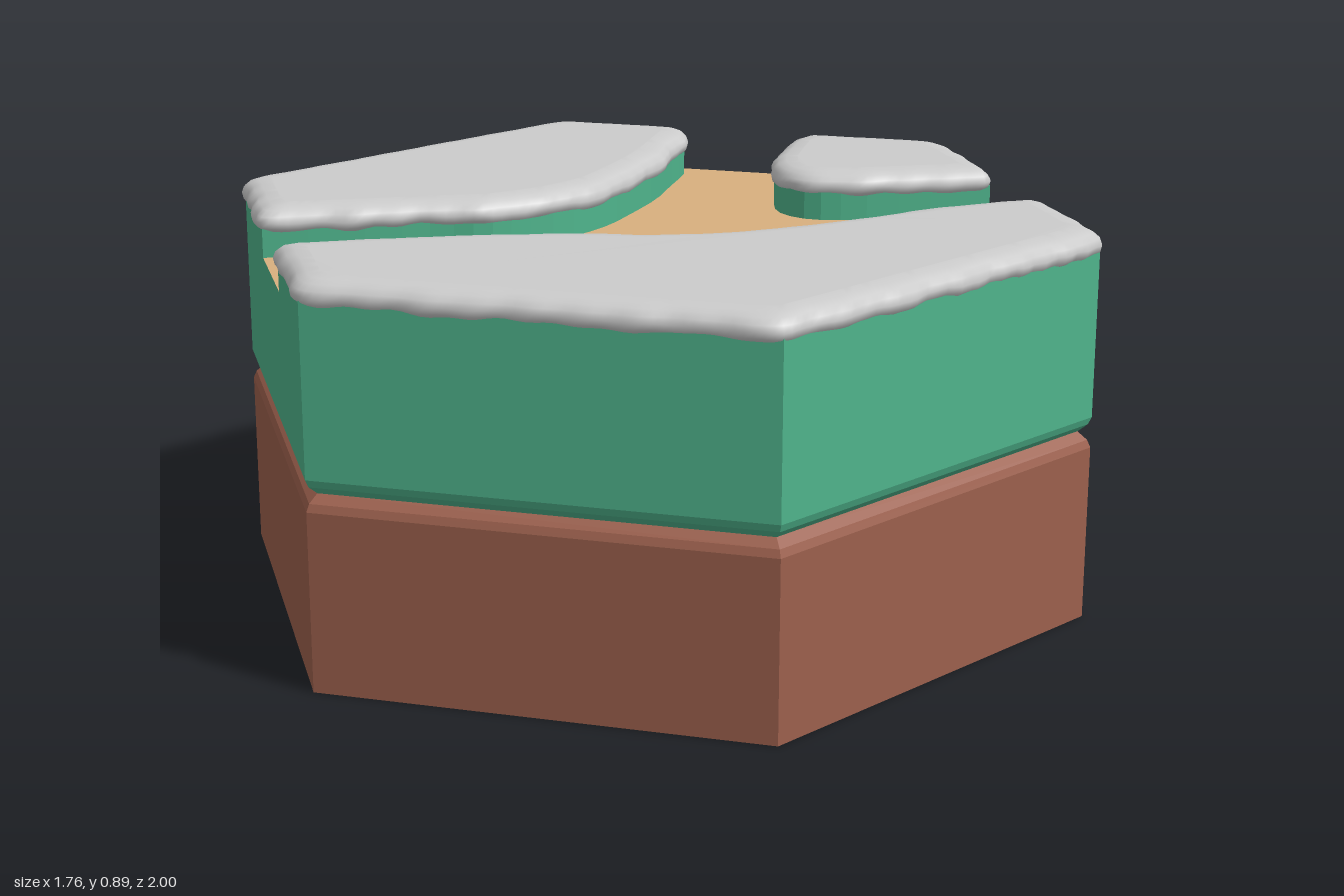
import * as THREE from 'three';

const GREEN = 0x4fb48c, BROWN = 0x9c604d, SAND = 0xd8b07e, GREY = 0xcccccc;
const BED = 0.78, BANK_TOP = 0.85, GROOVE = 0.435;
const HALF = Math.sqrt(3) / 2;

// Each bank: a curved river edge, then the hexagon corners behind it, as [x, z]
const BANKS = {
  backRight: {
    river: [[0.29, -0.832], [0.27, -0.76], [0.2, -0.63], [0.13, -0.5], [0.03, -0.36], [-0.05, -0.26],
      [-0.15, -0.18], [-0.27, -0.13], [-0.37, -0.11], [-0.47, -0.125], [-0.62, -0.13], [-HALF, -0.152]],
    corners: [[-HALF, -0.5], [0, -1]],
  },
  backLeft: {
    river: [[HALF, -0.152], [0.7, -0.16], [0.53, -0.175], [0.43, -0.21], [0.385, -0.29], [0.4, -0.39],
      [0.45, -0.5], [0.51, -0.61], [0.57, -0.671]],
    corners: [[HALF, -0.5]],
  },
  front: {
    river: [[-HALF, 0.152], [-0.68, 0.16], [-0.45, 0.18], [-0.22, 0.22], [-0.1, 0.265], [0, 0.286],
      [0.1, 0.29], [0.22, 0.276], [0.4, 0.24], [0.6, 0.18], [HALF, 0.152]],
    corners: [[HALF, 0.5], [0, 1], [-HALF, 0.5]],
  },
};

const material = (color) => new THREE.MeshStandardMaterial({ color });

function named(name, geometry, color) {
  const mesh = new THREE.Mesh(geometry, material(color));
  mesh.name = name;
  return mesh;
}

// Six-sided faceted solid from a radius/height profile
function hexSolid(profile) {
  const lathe = new THREE.LatheGeometry(profile.map(([r, y]) => new THREE.Vector2(r, y)), 6);
  const flat = lathe.toNonIndexed();
  flat.computeVertexNormals();
  return flat;
}

// Counter-clockwise plan outline; plan y is -z
function bankOutline({ river, corners }) {
  const toPlan = ([x, z]) => new THREE.Vector2(x, -z);
  const curve = new THREE.SplineCurve(river.map(toPlan));
  const points = [...curve.getPoints(river.length * 2), ...corners.map(toPlan)];
  return THREE.ShapeUtils.isClockWise(points) ? points.reverse() : points;
}

// Mitred inset of a closed outline (negative grows it)
function inset(points, d) {
  const n = points.length;
  return points.map((p, i) => {
    const a = p.clone().sub(points[(i + n - 1) % n]).normalize();
    const b = points[(i + 1) % n].clone().sub(p).normalize();
    const na = new THREE.Vector2(-a.y, a.x), nb = new THREE.Vector2(-b.y, b.x);
    const k = d / Math.max(0.4, 1 + na.dot(nb));
    return p.clone().addScaledVector(na.add(nb), k);
  });
}

// Split edges evenly, using the counts of the base outline, and soften the corners
function resample(points, counts) {
  let out = [];
  points.forEach((p, i) => {
    const q = points[(i + 1) % points.length];
    for (let s = 0; s < counts[i]; s++) out.push(p.clone().lerp(q, s / counts[i]));
  });
  for (let pass = 0; pass < 2; pass++) {
    const n = out.length;
    out = out.map((p, i) => p.clone().multiplyScalar(2).add(out[(i + 1) % n]).add(out[(i + n - 1) % n]).divideScalar(4));
  }
  return out;
}

const ripple = (x, z) => 0.5 * Math.sin(31 * x + 17 * z) + 0.3 * Math.sin(47 * z - 38 * x + 1) + 0.3 * Math.sin(70 * x + 61 * z + 2);

// Soft, lumpy cap: inset/height rings joined into a rounded rim
function snowCap(outline) {
  const profile = [[0.035, 0.84, 0], [0.008, 0.834, 1], [-0.006, 0.845, 1], [-0.009, 0.859, 1],
    [-0.004, 0.873, 1], [0.009, 0.885, 0.8], [0.028, 0.892, 0.4], [0.055, 0.895, 0.1]];
  const counts = outline.map((p, i) => Math.max(1, Math.round(p.distanceTo(outline[(i + 1) % outline.length]) / 0.02)));
  const base = resample(outline, counts);
  const n = base.length;
  const positions = [], index = [];
  let ring;
  profile.forEach(([d, y, wobble], r) => {
    const wobbled = resample(inset(outline, d), counts);
    ring = wobbled.map((p, i) => {
      const t = base[(i + 1) % n].clone().sub(base[(i + n - 1) % n]).normalize();
      const amount = 0.006 * wobble * ripple(base[i].x, base[i].y);
      return p.add(new THREE.Vector2(t.y, -t.x).multiplyScalar(amount));
    });
    ring.forEach((p, i) => {
      const lift = r < 4 ? 0.004 * wobble * ripple(base[i].y + 0.4, base[i].x) : 0;
      positions.push(p.x, y + lift, -p.y);
    });
    if (r === 0) {
      for (const [a, b, c] of THREE.ShapeUtils.triangulateShape(ring, [])) index.push(a, c, b);
      return;
    }
    for (let i = 0; i < n; i++) {
      const j = (i + 1) % n, low = (r - 1) * n, high = r * n;
      index.push(low + i, low + j, high + j, low + i, high + j, high + i);
    }
  });
  const top = (profile.length - 1) * n;
  for (const [a, b, c] of THREE.ShapeUtils.triangulateShape(ring, [])) index.push(top + a, top + b, top + c);
  const geometry = new THREE.BufferGeometry();
  geometry.setAttribute('position', new THREE.Float32BufferAttribute(positions, 3));
  geometry.setIndex(index);
  geometry.computeVertexNormals();
  return geometry;
}

export function createModel() {
  const model = new THREE.Group();
  model.name = 'riverTile';

  // Soil and turf layers meet in a chamfered groove
  model.add(named('soilLayer', hexSolid([[0, 0], [1, 0], [1, GROOVE - 0.035], [0.992, GROOVE - 0.018], [0.97, GROOVE]]), BROWN));
  model.add(named('turfLayer', hexSolid([[0.97, GROOVE], [0.992, GROOVE + 0.018], [1, GROOVE + 0.035], [1, BED]]), GREEN));

  // Sandy bed of the forked channel
  const bed = new THREE.CircleGeometry(1, 6, Math.PI / 2).rotateX(-Math.PI / 2).translate(0, BED, 0);
  model.add(named('riverBed', bed, SAND));

  // Raised banks with their snow caps
  for (const [side, spec] of Object.entries(BANKS)) {
    const outline = bankOutline(spec);
    const bank = new THREE.ExtrudeGeometry(new THREE.Shape(outline), { depth: BANK_TOP - BED, bevelEnabled: false });
    bank.rotateX(-Math.PI / 2).translate(0, BED, 0);
    model.add(named(side + 'Bank', bank, GREEN));
    model.add(named(side + 'SnowCap', snowCap(outline), GREY));
  }
  return model;
}
